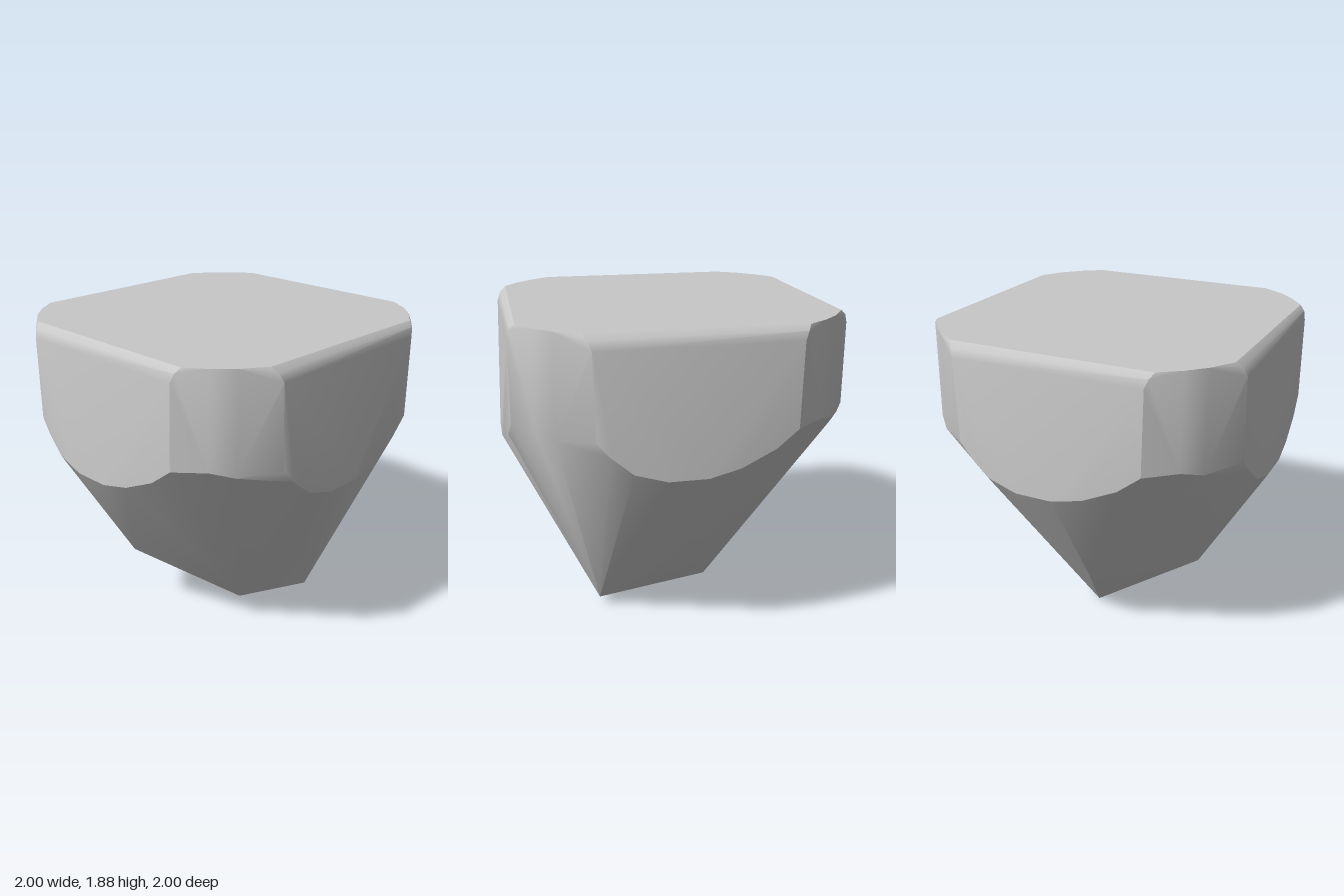
import * as THREE from 'three';
import { toCreasedNormals } from 'three/addons/utils/BufferGeometryUtils.js';
import { ConvexGeometry } from 'three/addons/geometries/ConvexGeometry.js';

// One side and one rounded corner of the block as [x, y, z]; repeated four times
const SIDE = [
  // flat top edge and rounded corner
  [-0.62, 1.88, 0.89], [0.58, 1.88, 0.925], [0.70, 1.88, 0.845], [0.80, 1.88, 0.75],
  // bevel under the top edge
  [-0.60, 1.85, 0.925], [0.56, 1.85, 0.955],
  [-0.58, 1.80, 0.945], [0.54, 1.80, 0.968],
  // foot of the upright corner
  [-0.57, 1.32, 0.95], [0.53, 1.32, 0.972], [0.70, 1.33, 0.86], [0.80, 1.30, 0.765],
  // lower arc of the side face
  [-0.50, 1.24, 0.962], [-0.38, 1.14, 0.98], [-0.20, 1.09, 0.995], [0.02, 1.09, 1.0],
  [0.20, 1.13, 0.993], [0.40, 1.22, 0.982],
];

// Irregular points of the tapering underside
const UNDERSIDE = [
  [0.29, 0.05, 0.47], [0.05, 0, -0.28], [-0.25, 0.16, 0.37],
  [-0.60, 0.42, -0.21], [-0.04, 0.41, -0.61], [0.64, 0.49, -0.08],
];

export function createModel() {
  const group = new THREE.Group();
  group.name = 'rock';

  const stone = new THREE.MeshStandardMaterial({ color: 0xc8c8c8 });
  stone.name = 'grey stone';

  const points = UNDERSIDE.map((p) => new THREE.Vector3(...p));
  const up = new THREE.Vector3(0, 1, 0);
  for (let i = 0; i < 4; i++) {
    for (const p of SIDE) {
      points.push(new THREE.Vector3(...p).applyAxisAngle(up, (i * Math.PI) / 2));
    }
  }

  // Soft normals over the shallow facets, sharp at the rim and the tip
  const body = new THREE.Mesh(toCreasedNormals(new ConvexGeometry(points), 0.5), stone);
  body.name = 'rockBody';
  group.add(body);
  return group;
}
